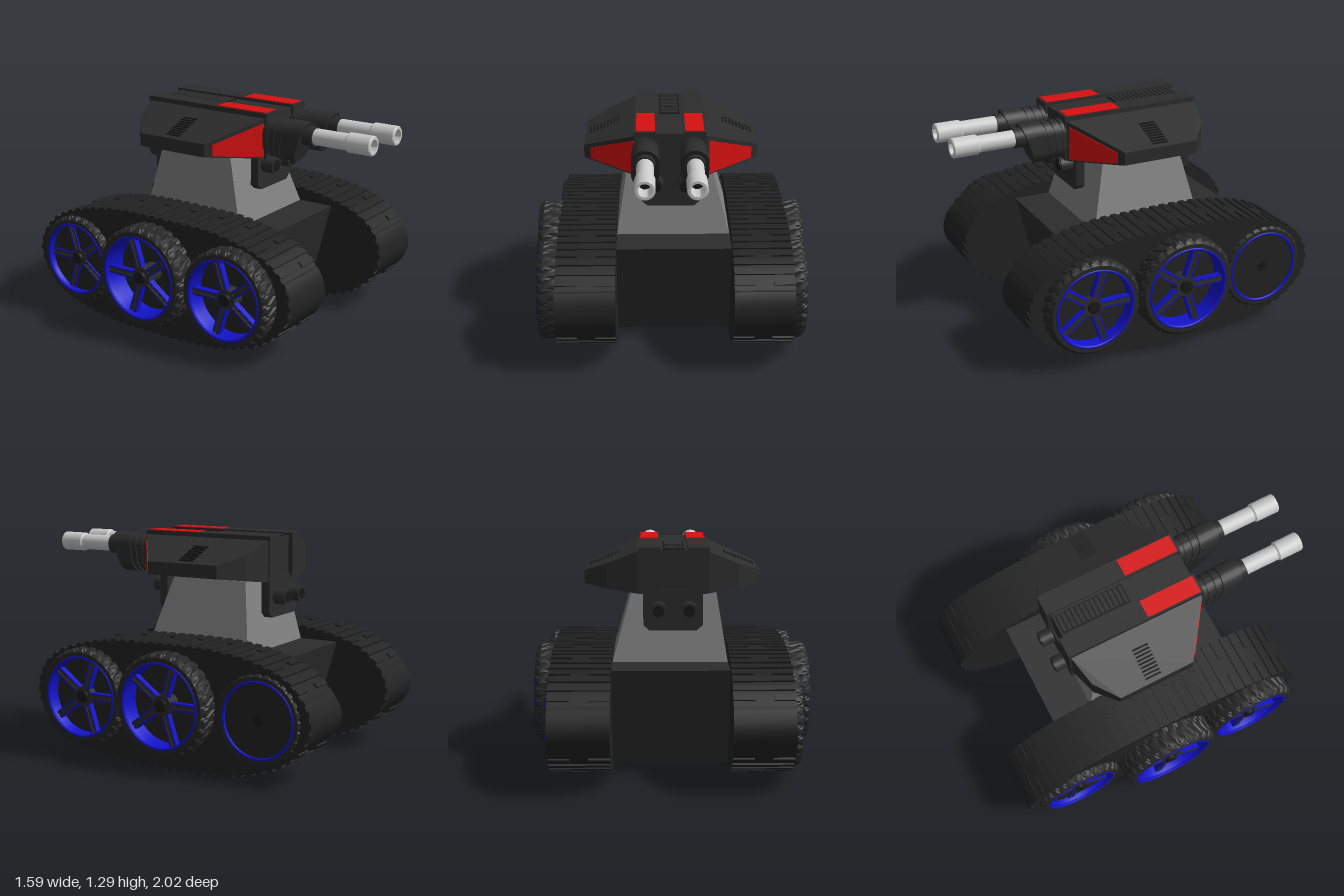
import * as THREE from 'three';
import { mergeGeometries, toCreasedNormals } from 'three/addons/utils/BufferGeometryUtils.js';
import { ConvexGeometry } from 'three/addons/geometries/ConvexGeometry.js';

const mat = (color, side = THREE.FrontSide) => new THREE.MeshStandardMaterial({ color, side });
const dark = mat(0x2c2c2c), black = mat(0x181818), rubber = mat(0x262626), tread = mat(0x222222);
const grey = mat(0x808080), light = mat(0xcccccc, THREE.DoubleSide);
const red = mat(0xd81010), blue = mat(0x1212c8, THREE.DoubleSide);

function add(parent, name, geometry, material, x = 0, y = 0, z = 0) {
  const mesh = new THREE.Mesh(geometry, material);
  mesh.name = name;
  mesh.position.set(x, y, z);
  parent.add(mesh);
  return mesh;
}
// box given by its limits
function block(parent, name, material, x0, x1, y0, y1, z0, z1) {
  return add(parent, name, new THREE.BoxGeometry(x1 - x0, y1 - y0, z1 - z0), material,
    (x0 + x1) / 2, (y0 + y1) / 2, (z0 + z1) / 2);
}
const convex = (pts) => new ConvexGeometry(pts.map((p) => new THREE.Vector3(...p)));
const shapeOf = (pts) => new THREE.Shape(pts.map((p) => new THREE.Vector2(...p)));
const extrude = (shape, depth, curveSegments = 12) =>
  new THREE.ExtrudeGeometry(shape, { depth, bevelEnabled: false, curveSegments });
// profile in (z, y), extruded from x0 to x1
const extrudeX = (shape, x0, x1) => extrude(shape, x1 - x0).rotateY(-Math.PI / 2).translate(x1, 0, 0);
// cylinder along z starting at z = 0
const rod = (r, len, n = 32) => new THREE.CylinderGeometry(r, r, len, n).rotateX(Math.PI / 2).translate(0, 0, len / 2);

// ---- endless track: band plus cleats ----
const trackPath = new THREE.CatmullRomCurve3([
  [0, .71], [.25, .703], [.45, .67], [.64, .605], [.75, .51], [.79, .37], [.75, .24], [.62, .125],
  [.4, .045], [.15, .015], [-.1, .01], [-.35, .015], [-.6, .045], [-.82, .125], [-.94, .225],
  [-.99, .36], [-.95, .48], [-.84, .59], [-.65, .665], [-.4, .705], [-.2, .712],
].map(([z, y]) => new THREE.Vector3(0, y, z)), true);

function track(x0, x1) {
  const g = new THREE.Group();
  g.name = 'track';
  const outer = [], inner = [];
  for (let i = 0; i < 120; i++) {
    const p = trackPath.getPointAt(i / 120), t = trackPath.getTangentAt(i / 120);
    outer.push(new THREE.Vector2(p.z, p.y));
    inner.push(new THREE.Vector2(p.z - t.y * .028, p.y + t.z * -.028));
  }
  // keep the second loop inside the first
  if (inner[0].y > outer[0].y) inner.forEach((v, i) => v.copy(outer[i].clone().multiplyScalar(2).sub(v)));
  const shape = new THREE.Shape(outer);
  shape.holes.push(new THREE.Path(inner));
  add(g, 'trackBand', toCreasedNormals(extrudeX(shape, x0, x1), .6), tread);

  const cleats = [], w = x1 - x0, count = 66;
  for (let i = 0; i < count; i++) {
    const p = trackPath.getPointAt(i / count), t = trackPath.getTangentAt(i / count);
    const angle = Math.atan2(-t.y, t.z);
    const gap = i % 3 === 0 ? .1 : 0;
    const parts = gap ? [[x0, x0 + (w - gap) / 2], [x1 - (w - gap) / 2, x1]] : [[x0, x1]];
    for (const [a, b] of parts)
      cleats.push(new THREE.BoxGeometry(b - a, .019, .034).rotateX(angle).translate((a + b) / 2, p.y, p.z));
  }
  add(g, 'trackCleats', mergeGeometries(cleats), tread);
  return g;
}

// ---- wheel: axis along z, outer face at z = 0 ----
function tyreGeometry(R, rim, w) {
  const pts = [[rim * .94, -w], [R * .92, -w], [R * .97, -w + .012]];
  for (let i = 0; i <= 12; i++) pts.push([R, -w + .03 + (w - .06) * i / 12]);
  pts.push([R * .97, -.012], [R * .92, 0], [rim, 0]);
  const geo = new THREE.LatheGeometry(pts.map((p) => new THREE.Vector2(...p)), 168);
  // wavy grooves cut across the tread
  const pos = geo.attributes.position;
  for (let i = 0; i < pos.count; i++) {
    const x = pos.getX(i), y = pos.getY(i), z = pos.getZ(i), r = Math.hypot(x, z);
    if (r < R * .95) continue;
    const wave = Math.sin(Math.atan2(z, x) * 28 + 1.8 * Math.sin(y * 55));
    const k = wave > .55 ? 1 - .009 / r : 1;
    pos.setXYZ(i, x * k, y, z * k);
  }
  return toCreasedNormals(geo.rotateX(Math.PI / 2), .5);
}

function wheel(R, w) {
  const g = new THREE.Group(), rim = R * .83;
  g.name = 'wheel';
  add(g, 'tyre', tyreGeometry(R, rim, w), rubber);
  const barrel = [[rim * .94, -w], [rim * .92, -w * .6], [rim * .95, -.05], [rim, 0]];
  add(g, 'rimBarrel', new THREE.LatheGeometry(barrel.map((p) => new THREE.Vector2(...p)), 48).rotateX(Math.PI / 2), blue);
  add(g, 'rimEdge', new THREE.TorusGeometry(rim * .98, .009, 8, 48), blue, 0, 0, -.005);
  // vented brake disc
  const disc = new THREE.Shape().absarc(0, 0, R * .6, 0, Math.PI * 2);
  disc.holes.push(new THREE.Path().absarc(0, 0, R * .35, 0, Math.PI * 2));
  for (let i = 0; i < 20; i++) {
    const a = i * Math.PI / 10, r0 = R * .44, r1 = R * .54, d = .06;
    disc.holes.push(new THREE.Path([[r0, -d], [r1, -d], [r1, d], [r0, d]].map(([r, o]) =>
      new THREE.Vector2(r * Math.cos(a + o), r * Math.sin(a + o)))));
  }
  add(g, 'brakeDisc', extrude(disc, .02, 24), dark, 0, 0, -w * .6);
  add(g, 'hub', rod(R * .2, w * .5), dark, 0, 0, -w * .6);
  add(g, 'hubCap', rod(R * .12, .02), black, 0, 0, -w * .1);
  // five twin-railed spokes
  for (let i = 0; i < 5; i++) {
    const spoke = new THREE.Group();
    spoke.name = 'spoke';
    spoke.rotation.z = i * Math.PI * 2 / 5;
    block(spoke, 'spokeCore', dark, R * .1, rim * .97, -.02, .02, -.065, -.04);
    for (const s of [-1, 1]) {
      const c = s * .018;
      block(spoke, 'spokeRail', blue, R * .18, rim * .97, c - .005, c + .005, -.07, -.034);
      block(spoke, 'spokeFace', dark, R * .18, rim * .97, s * .009 - .005, s * .009 + .005, -.06, -.032);
    }
    g.add(spoke);
  }
  return g;
}

// ---- twin gun ----
function gun(x) {
  const g = new THREE.Group(), y = 1.19;
  g.name = 'gun';
  // ribbed sleeve with a raked front
  [[.33, .37, .94], [.37, .385, .87], [.385, .42, .95], [.42, .435, .88], [.435, .47, .97], [.47, .48, .9], [.48, .605, 1]]
    .forEach(([z0, z1, k]) => {
      const s = new THREE.Shape().absarc(0, .04, .0775, 0, Math.PI).absarc(0, -.04, .0775, Math.PI, Math.PI * 2);
      const geo = extrude(s, z1 - z0).scale(k, k, 1).translate(0, 1.15, z0);
      const p = geo.attributes.position;
      for (let i = 0; i < p.count; i++)
        p.setZ(i, p.getZ(i) + (p.getZ(i) - .33) / .275 * (p.getY(i) - 1.267) * .33);
      add(g, 'gunSleeve', toCreasedNormals(geo, .6), dark, x);
    });
  add(g, 'gunCollar', rod(.056, .08), dark, x, y, .56);
  add(g, 'barrel', rod(.047, .24), light, x, y, .62);
  const muzzle = [[0, .87], [.036, .87], [.036, 1], [.05, 1], [.056, .994], [.056, .855], [.047, .845]].reverse();
  add(g, 'muzzle', toCreasedNormals(new THREE.LatheGeometry(muzzle.map((p) => new THREE.Vector2(...p)), 32)
    .rotateX(Math.PI / 2), .6), light, x, y);
  add(g, 'bore', rod(.035, .01), black, x, y, .875);
  return g;
}

function turretWing(s) {
  const g = new THREE.Group();
  g.name = 'turretWing';
  const pts = [];
  for (const [x, z, y0, y1] of [[.17, .34, 1.03, 1.265], [.2, .34, 1.03, 1.265], [.17, -.48, 1.03, 1.265],
    [.2, -.475, 1.03, 1.265], [.37, -.43, 1.053, 1.194], [.5, -.32, 1.07, 1.145], [.5, .13, 1.07, 1.145]])
    pts.push([s * x, y0, z], [s * x, y1, z]);
  add(g, 'wingBody', convex(pts), dark);
  // red panel on the slanted front
  const panel = [];
  for (const [x, y] of [[.21, 1.04], [.21, 1.235], [.46, 1.138], [.46, 1.073]])
    for (const d of [-.004, .005]) panel.push([s * (x + d * .57), y, .34 - .7 * (x - .2) + d * .82]);
  add(g, 'wingPanel', convex(panel), red);
  // vent slats
  for (let i = 0; i < 9; i++) {
    const x = .31 + i * .02;
    add(g, 'wingVent', new THREE.BoxGeometry(.009, .012, .095), black, s * x, 1.265 - (x - .2) * .4, -.105);
  }
  return g;
}

// bracket plate with two round knobs, dir is the facing
function bracket(zFace, dir, yKnob, rKnob) {
  const g = new THREE.Group();
  g.name = 'turretBracket';
  const s = shapeOf([[-.17, 1.05], [-.17, .85], [-.135, .82], [.13, .82], [.165, .85], [.165, 1.05]]);
  add(g, 'bracketPlate', extrude(s, .05), dark, 0, 0, dir > 0 ? zFace - .05 : zFace);
  for (const x of [-.092, .08]) {
    add(g, 'knob', rod(rKnob, .075), dark, x, yKnob, dir > 0 ? zFace : zFace - .075);
    add(g, 'knobCap', rod(rKnob * .7, .006), black, x, yKnob, dir > 0 ? zFace + .074 : zFace - .08);
  }
  return g;
}

export function createModel() {
  const model = new THREE.Group();
  model.name = 'tank';

  // hull and pedestal
  add(model, 'hull', extrudeX(shapeOf([[.31, .06], [.46, .63], [-.67, .63], [-.51, .06]]), -.32, .345), dark);
  add(model, 'pedestal', convex([
    [-.315, .63, .24], [.34, .63, .24], [-.315, .63, -.43], [.34, .63, -.43],
    [-.25, 1.03, .13], [.23, 1.03, .13], [-.25, 1.03, -.35], [.23, 1.03, -.35]]), grey);

  // running gear
  model.add(track(-.65, -.315), track(.342, .678));
  for (const s of [-1, 1])
    for (const [z, y, R, x] of [[.435, .37, .283, .757], [-.125, .388, .295, .793], [-.687, .358, .26, .692]]) {
      const w = wheel(R, .32);
      w.position.set(s * x, y, z);
      w.rotation.set(0, s * Math.PI / 2, 0);
      if (s < 0) w.rotation.z = Math.PI;
      // spokes stay mirrored left to right
      if (s < 0) w.rotation.order = 'YXZ';
      model.add(w);
    }

  // turret
  const turret = new THREE.Group();
  turret.name = 'turret';
  model.add(turret);
  block(turret, 'turretCore', dark, -.19, .18, 1.03, 1.275, -.46, .335);
  turret.add(turretWing(-1), turretWing(1));
  for (const x of [-.146, .13]) {
    block(turret, 'turretPod', dark, x - .061, x + .061, 1.03, 1.29, -.485, .35);
    block(turret, 'podPanel', red, x - .052, x + .054, 1.28, 1.294, .005, .335);
    turret.add(gun(x - (x > 0 ? .005 : 0)));
  }
  block(turret, 'topVentFrame', black, -.066, .054, 1.27, 1.279, -.45, -.035);
  for (let i = 0; i < 14; i++)
    block(turret, 'topVentSlat', dark, -.058, .046, 1.275, 1.285, -.44 + i * .029, -.422 + i * .029);
  turret.add(bracket(.27, 1, .965, .048), bracket(-.47, -1, .94, .046));
  return model;
}
